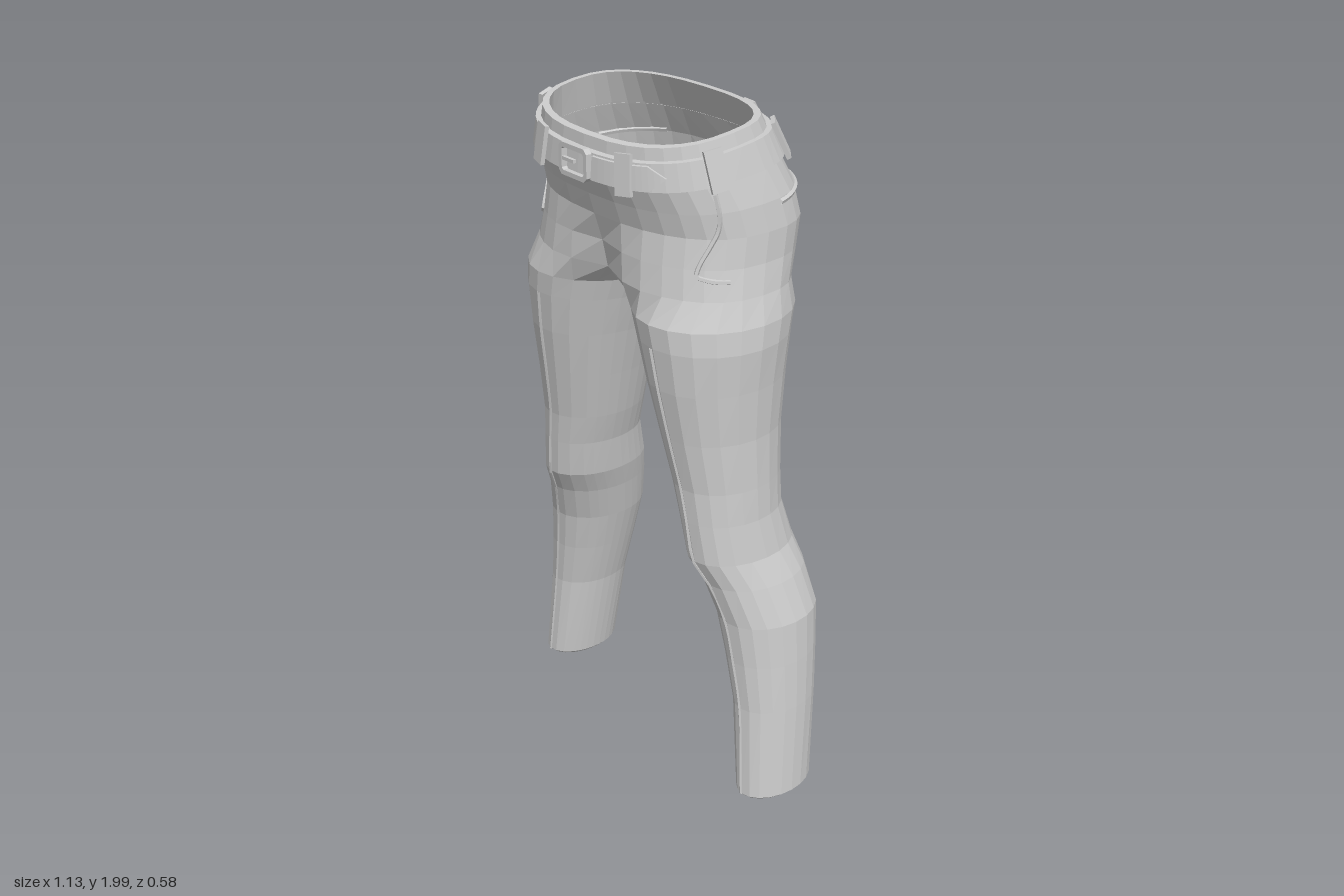
import * as THREE from 'three';

const DEG = Math.PI / 180, P = 0.8;
const ARC = 16, INNER = 6, SPREAD = 50 * DEG;
const mat = new THREE.MeshStandardMaterial({ color: 0xcccccc, flatShading: true, side: THREE.DoubleSide });

// leg sections: y, inner x, outer x, front z, back z
const LEG = [
  [0.012, 0.40, 0.567, 0.08, -0.175],
  [0.30, 0.355, 0.552, 0.068, -0.20],
  [0.45, 0.315, 0.541, 0.075, -0.216],
  [0.58, 0.28, 0.53, 0.087, -0.228],
  [0.70, 0.25, 0.49, 0.118, -0.21],
  [0.78, 0.225, 0.457, 0.155, -0.19],
  [0.90, 0.205, 0.44, 0.165, -0.157],
  [1.00, 0.175, 0.435, 0.172, -0.158],
  [1.15, 0.137, 0.431, 0.197, -0.168],
  [1.30, 0.097, 0.438, 0.222, -0.185],
  [1.42, 0.06, 0.447, 0.236, -0.202],
  [1.485, 0.035, 0.443, 0.24, -0.224],
];
// hip sections: y, half width, front z, back z, front cleft, back cleft, front dip
const HIP = [
  [1.56, 0.42, 0.24, -0.25, 0.06, 0.07, 0],
  [1.64, 0.405, 0.232, -0.28, 0.035, 0.045, 0],
  [1.72, 0.40, 0.222, -0.297, 0, 0.025, 0],
  [1.80, 0.39, 0.24, -0.278, 0, 0.012, 0.02],
  [1.885, 0.368, 0.262, -0.235, 0, 0, 0.05],
  [1.995, 0.34, 0.25, -0.175, 0, 0, 0.055],
];

const spow = (v, p) => Math.sign(v) * Math.abs(v) ** p;

function legPoint([y, xi, xo, zf, zb], a, off = 0) {
  return new THREE.Vector3(
    (xi + xo) / 2 + ((xo - xi) / 2 + off) * Math.sin(a), y,
    (zf + zb) / 2 + ((zf - zb) / 2 + off) * Math.cos(a));
}

// point on the hips at height v; angle 0 is the front, 90 degrees the model's left
function hipPoint(v, a, off = 0) {
  let i = 0;
  while (i < HIP.length - 2 && v > HIP[i + 1][0]) i++;
  const k = (v - HIP[i][0]) / (HIP[i + 1][0] - HIP[i][0]);
  const [y, hx, zf, zb, cf, cb, dip] = HIP[i].map((n, j) => THREE.MathUtils.lerp(n, HIP[i + 1][j], k));
  const s = Math.sin(a), c = Math.cos(a);
  const x = Math.abs(s) < 1e-6 ? 0 : (hx + off) * spow(s, P);
  const cleft = (c > 0 ? -cf : cb) * Math.exp(-((x / 0.1) ** 2));
  const z = (zf + zb) / 2 + ((zf - zb) / 2 + off) * spow(c, P) + cleft;
  return new THREE.Vector3(x, y - dip * ((z - zb) / (zf - zb)) ** 2, z);
}

// skin through rings of points; side -1 mirrors it; faces on the centre plane may be left out
function loft(rings, { closed = true, side = 1, skipCentre = false } = {}) {
  const n = rings[0].length, pos = [], idx = [];
  for (const p of rings.flat()) pos.push(p.x * side, p.y, p.z);
  for (let r = 0; r + 1 < rings.length; r++) {
    for (let i = 0; i < (closed ? n : n - 1); i++) {
      const j = (i + 1) % n;
      const q = [r * n + i, r * n + j, (r + 1) * n + j, (r + 1) * n + i];
      if (skipCentre && q.every(v => Math.abs(pos[v * 3]) < 1e-6)) continue;
      if (side < 0) q.reverse();
      idx.push(q[0], q[1], q[2], q[0], q[2], q[3]);
    }
  }
  const g = new THREE.BufferGeometry();
  g.setAttribute('position', new THREE.Float32BufferAttribute(pos, 3));
  g.setIndex(idx);
  g.computeVertexNormals();
  return g;
}

const range = (n, f) => Array.from({ length: n }, (_, i) => f(i));

function legRing(row, off = 0) {
  const outer = range(ARC + 1, i => legPoint(row, -SPREAD + (Math.PI + 2 * SPREAD) * i / ARC, off));
  const inner = range(INNER, i => legPoint(row, Math.PI + SPREAD + (Math.PI - 2 * SPREAD) * (i + 1) / (INNER + 1), off));
  return [...outer, ...inner];
}

// half a hip section, closed along the centre plane with a sagging line for the crotch
function hipRing(v, off = 0, sag = 0) {
  const outer = range(ARC + 1, i => hipPoint(v, Math.PI * i / ARC, off));
  const inner = range(INNER, i => {
    const k = (i + 1) / (INNER + 1);
    const p = outer[ARC].clone().lerp(outer[0], k);
    p.x = 0;
    p.y -= sag * Math.sin(Math.PI * k);
    return p;
  });
  return [...outer, ...inner];
}

function createModel() {
  const group = new THREE.Group();
  const add = (name, geo) => {
    const m = new THREE.Mesh(geo, mat);
    m.name = name;
    group.add(m);
    return m;
  };
  const tube = (name, pts, r, side) => add(name, new THREE.TubeGeometry(
    new THREE.CatmullRomCurve3(pts.map(p => new THREE.Vector3(p.x * side, p.y, p.z))), pts.length * 3, r, 5));
  // orient a mesh to the waist surface
  const placeOnHip = (mesh, v, a, off) => {
    const up = hipPoint(v + 0.04, a).sub(hipPoint(v - 0.04, a)).normalize();
    const right = hipPoint(v, a + 0.04).sub(hipPoint(v, a - 0.04));
    const out = right.clone().cross(up).normalize();
    right.crossVectors(up, out);
    mesh.quaternion.setFromRotationMatrix(new THREE.Matrix4().makeBasis(right, up, out));
    mesh.position.copy(hipPoint(v, a, off));
  };

  // cloth: hem lining, leg, crotch, hips, waist lining
  const hem = LEG[0], lining = [0.10, ...LEG[0].slice(1)];
  const rings = [
    legRing(lining, -0.014), legRing(hem, -0.01), ...LEG.map(r => legRing(r)),
    hipRing(1.56, 0, 0.04), ...HIP.slice(1).map(r => hipRing(r[0])),
    hipRing(1.995, -0.018), hipRing(1.90, -0.02),
  ];
  rings[1].forEach(p => { p.y = 0.002; });

  for (const side of [1, -1]) {
    const label = side > 0 ? 'left' : 'right';
    add(label + 'TrouserHalf', loft(rings, { side, skipCentre: true }));

    // raised seams down the front and back of the leg
    for (const [name, a] of [['FrontSeam', 0], ['BackSeam', Math.PI]])
      tube(label + name, LEG.slice(0, 11).map(r => legPoint(r, a)), 0.005, side);

    // slanted front pocket edge
    const pocket = [[1.86, 70], [1.80, 67], [1.75, 64], [1.70, 58], [1.65, 53], [1.625, 52], [1.618, 56], [1.612, 63], [1.61, 71]];
    tube(label + 'FrontPocket', pocket.map(([v, a]) => hipPoint(v, a * DEG)), 0.007, side);

    // back pocket welt
    tube(label + 'BackPocket', range(9, i => hipPoint(1.79 + 0.015 * i / 8, (100 + 44 * i / 8) * DEG)), 0.008, side);

    // belt loops
    for (const a of [23, 74, 127, 164]) {
      const loop = add(label + 'BeltLoop', new THREE.BoxGeometry(0.05, 0.108, 0.012));
      placeOnHip(loop, 1.93, side * a * DEG, 0.021);
    }
  }

  // belt band
  const band = (v, off) => range(48, i => hipPoint(v, 2 * Math.PI * i / 48, off));
  add('belt', loft([band(1.888, -0.002), band(1.888, 0.014), band(1.962, 0.014), band(1.962, -0.002)]));

  // pointed belt end lying over the band
  const strap = (s, off) => range(13, i => {
    const k = i / 12, h = 0.032 * Math.min(1, (1 - k) * 4);
    return hipPoint(1.925 + s * h, (6 + 40 * k) * DEG, off);
  });
  add('beltEnd', loft([strap(-1, 0.012), strap(-1, 0.02), strap(1, 0.02), strap(1, 0.012)], { closed: false }));

  // buckle frame and prong
  const rect = (path, w, h, c) => path.moveTo(-w + c, -h).lineTo(w - c, -h).lineTo(w, -h + c).lineTo(w, h - c)
    .lineTo(w - c, h).lineTo(-w + c, h).lineTo(-w, h - c).lineTo(-w, -h + c).closePath();
  const frame = rect(new THREE.Shape(), 0.06, 0.044, 0.012);
  frame.holes.push(rect(new THREE.Path(), 0.047, 0.031, 0.006));
  const buckle = add('buckle', new THREE.ExtrudeGeometry(frame, { depth: 0.018, bevelEnabled: false }));
  buckle.position.set(0, 1.873, 0.272);
  const prong = add('buckleProng', new THREE.BoxGeometry(0.06, 0.009, 0.01));
  prong.position.set(-0.028, 1.873, 0.284);

  return group;
}

export { createModel };
